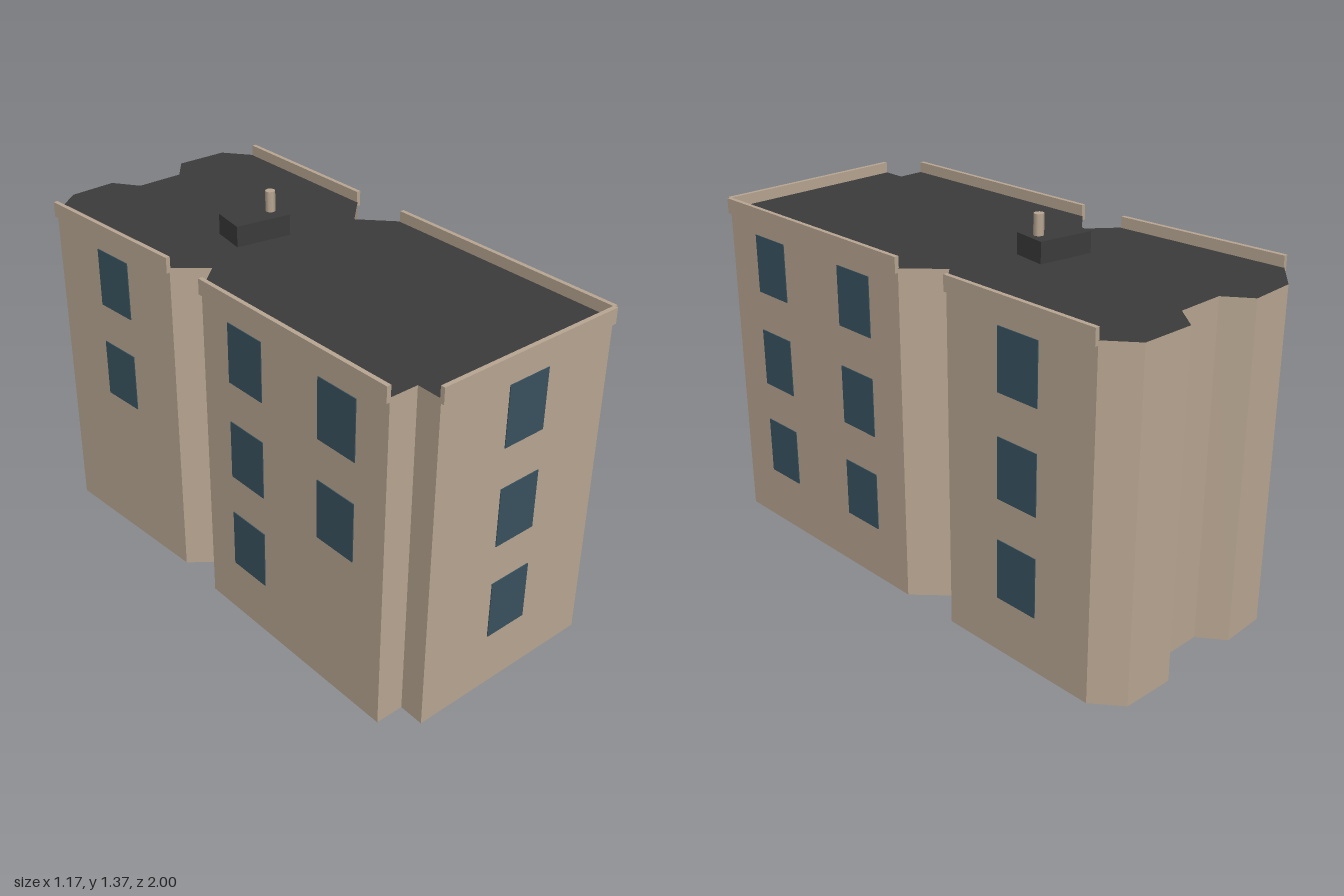
import * as THREE from 'three';

const wallMat = new THREE.MeshStandardMaterial({ name: 'wall stone', color: 0xb8a692 });
const roofMat = new THREE.MeshStandardMaterial({ name: 'roof felt', color: 0x3b3b3b });
const glassMat = new THREE.MeshStandardMaterial({ name: 'window glass', color: 0x38525f });

const ROOF_Y = 1.217;
const ROWS = [0.312, 0.677, 1.043]; // window centre heights

// Footprint corners as [x, z]
const FOOTPRINT = [
  [-0.578, -0.77], [-0.47, -0.89], [-0.3, -0.925], [-0.22, -0.845], [-0.045, -0.873],
  [0.013, -0.975], [0.205, -1.0], [0.3, -0.913], [0.395, -0.297], [0.3, -0.17],
  [0.43, -0.07], [0.573, 0.867], [-0.157, 0.987], [-0.17, 0.895], [-0.275, 0.912],
  [-0.415, 0.05], [-0.315, -0.07], [-0.437, -0.14],
];

// Windowed walls, corners left to right as seen from outside;
// each window column is [position along the wall, rows]
const WALLS = [
  { name: 'front', from: 12, to: 11, columns: [[0.5, [0, 1, 2]]] },
  { name: 'leftFront', from: 11, to: 10, columns: [[0.25, [0, 1, 2]], [0.75, [0, 1, 2]]] },
  { name: 'leftBack', from: 8, to: 7, columns: [[0.5, [0, 1, 2]]] },
  { name: 'rightBack', from: 0, to: 17, columns: [[0.5, [1, 2]]] },
  { name: 'rightFront', from: 15, to: 14, columns: [[0.25, [0, 1, 2]], [0.75, [1, 2]]] },
];

function addMesh(parent, name, geometry, material, x, y, z) {
  const mesh = new THREE.Mesh(geometry, material);
  mesh.name = name;
  mesh.position.set(x, y, z);
  parent.add(mesh);
  return mesh;
}

// Parapet and windows of one wall, in a frame with x along it and z outward
function buildWall({ name, from, to, columns }) {
  const [ax, az] = FOOTPRINT[from];
  const [bx, bz] = FOOTPRINT[to];
  const length = Math.hypot(bx - ax, bz - az);
  const wall = new THREE.Group();
  wall.name = name + 'Wall';
  wall.position.set(ax, 0, az);
  wall.rotation.y = Math.atan2(az - bz, bx - ax);

  addMesh(wall, name + 'Parapet', new THREE.BoxGeometry(length, 0.056, 0.016), wallMat,
    length / 2, 1.229, 0.004);

  const pane = new THREE.BoxGeometry(0.168, 0.217, 0.006);
  for (const [t, rows] of columns) {
    for (const row of rows) {
      addMesh(wall, name + 'Window', pane, glassMat, t * length, ROWS[row], 0);
    }
  }
  return wall;
}

export function createModel() {
  const model = new THREE.Group();
  model.name = 'apartmentBlock';

  // Main block: dark roof and underside, stone sides
  const shape = new THREE.Shape(FOOTPRINT.map(([x, z]) => new THREE.Vector2(x, -z)));
  const block = new THREE.ExtrudeGeometry(shape, { depth: ROOF_Y, bevelEnabled: false });
  block.rotateX(-Math.PI / 2);
  addMesh(model, 'mainBlock', block, [roofMat, wallMat], 0, 0, 0);

  // Parapets and windows
  for (const wall of WALLS) model.add(buildWall(wall));

  // Rooftop housing with its flue
  addMesh(model, 'roofHousing', new THREE.BoxGeometry(0.205, 0.075, 0.13), roofMat,
    -0.066, ROOF_Y + 0.0375, -0.235);
  const flue = new THREE.CylinderGeometry(0.018, 0.018, 0.075, 8);
  addMesh(model, 'flue', flue, wallMat, -0.003, 1.328, -0.235);

  return model;
}
